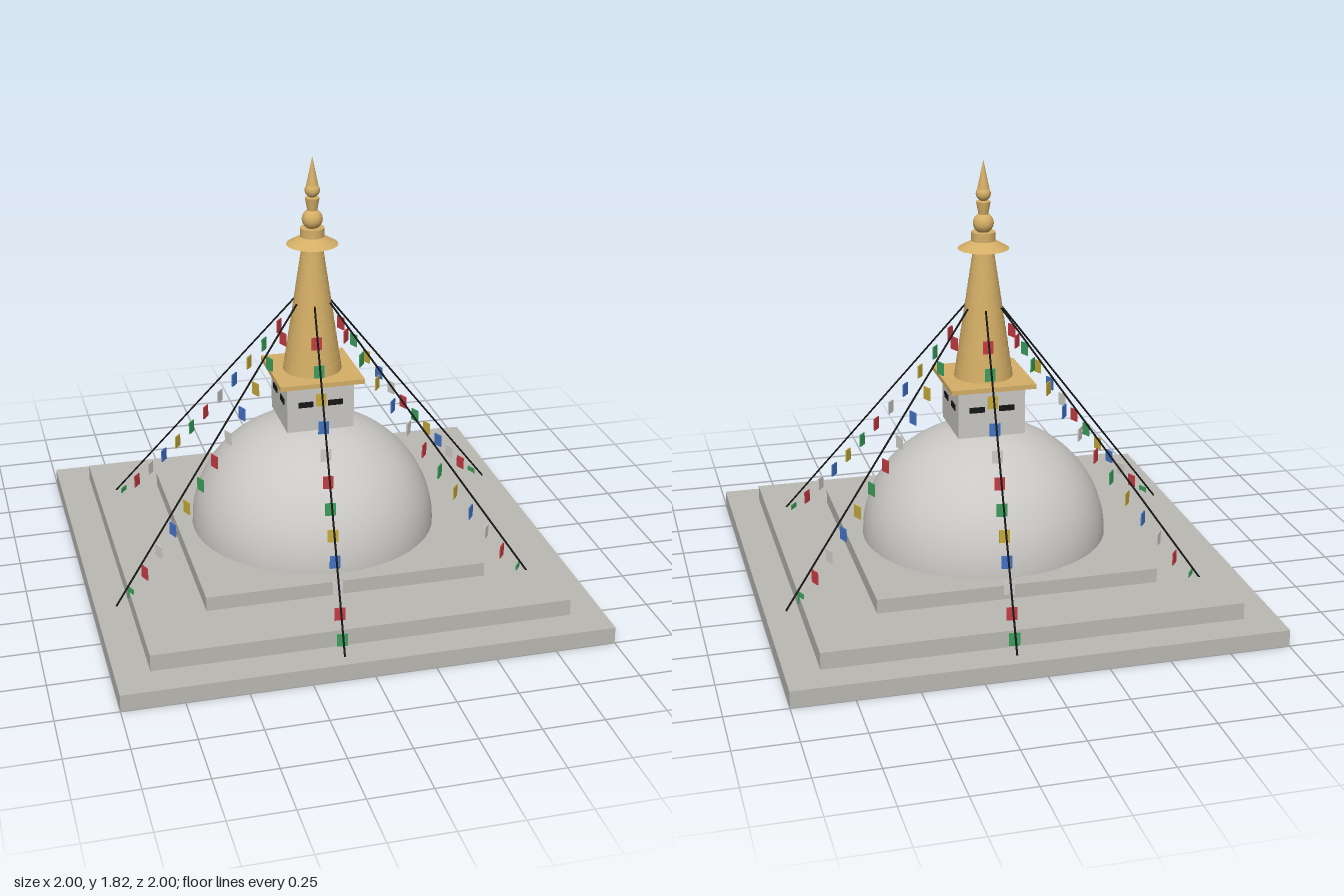
import * as THREE from 'three';

const mat = (name, color) => {
  const m = new THREE.MeshStandardMaterial({ color });
  m.name = name;
  return m;
};

export function createModel() {
  const stone = mat('stone', 0xbab8b2);
  const plaster = mat('plaster', 0xcac8c4);
  const gold = mat('gold', 0xd4ae66);
  const black = mat('black', 0x161616);
  const flagMats = [
    mat('red', 0xc43c42), mat('green', 0x3c9f5c), mat('yellow', 0xc4aa3a),
    mat('blue', 0x4272c4), mat('white', 0xcfcdca),
  ];

  const model = new THREE.Group();
  model.name = 'stupa';
  const add = (parent, name, geometry, material, x = 0, y = 0, z = 0) => {
    const mesh = new THREE.Mesh(geometry, material);
    mesh.name = name;
    mesh.position.set(x, y, z);
    parent.add(mesh);
    return mesh;
  };
  const slab = (name, half, y0, y1, material) =>
    add(model, name, new THREE.BoxGeometry(half * 2, y1 - y0, half * 2), material, 0, (y0 + y1) / 2);
  const drum = (name, rTop, rBottom, y0, y1, sides = 32) =>
    add(model, name, new THREE.CylinderGeometry(rTop, rBottom, y1 - y0, sides), gold, 0, (y0 + y1) / 2);

  // Three square terraces
  slab('lowerTerrace', 1, 0, 0.07, stone);
  slab('middleTerrace', 0.86, 0.07, 0.14, stone);
  slab('upperTerrace', 0.585, 0.14, 0.2, stone);

  // Slightly flattened dome
  const domeGeo = new THREE.SphereGeometry(0.52, 48, 20, 0, Math.PI * 2, 0, Math.PI / 2);
  domeGeo.scale(1, 0.48 / 0.52, 1);
  add(model, 'dome', domeGeo, plaster, 0, 0.2, 0);

  // Square tower with a pair of eyes on each side, and its cornice
  slab('tower', 0.143, 0.675, 0.88, plaster);
  for (let side = 0; side < 4; side++) {
    const face = new THREE.Group();
    face.name = 'towerFace';
    face.rotation.y = side * Math.PI / 2;
    for (const s of [-1, 1])
      add(face, 'eye', new THREE.BoxGeometry(0.064, 0.024, 0.006), black, s * 0.063, 0.795, 0.144);
    model.add(face);
  }
  slab('cornice', 0.18, 0.88, 0.9, gold);

  // Thirteen stepped rings of the spire
  const rings = 13, spireBase = 0.9, ringHeight = 0.542 / rings;
  for (let i = 0; i < rings; i++) {
    const r = 0.123 - 0.0062 * i;
    const y = spireBase + i * ringHeight;
    drum('spireRing', r - 0.005, r, y, y + ringHeight);
  }

  // Parasol and finial
  drum('parasol', 0.045, 0.107, 1.447, 1.482);
  drum('finialCollar', 0.05, 0.05, 1.48, 1.517);
  add(model, 'largeBead', new THREE.SphereGeometry(0.043, 24, 16), gold, 0, 1.553, 0);
  drum('finialCup', 0.03, 0.02, 1.588, 1.643, 24);
  add(model, 'smallBead', new THREE.SphereGeometry(0.031, 24, 16), gold, 0, 1.675, 0);
  drum('finialTip', 0, 0.025, 1.695, 1.815, 24);

  // Six ropes, each carrying twelve flags that hang on a slight sag
  const start = new THREE.Vector3(0, 1.2, 0.08);
  const end = new THREE.Vector3(0, 0.1, 1);
  const ropeGeo = new THREE.TubeGeometry(new THREE.LineCurve3(start, end), 1, 0.004, 6);
  const flagGeo = new THREE.BoxGeometry(0.043, 0.054, 0.005);
  for (let k = 0; k < 6; k++) {
    const line = new THREE.Group();
    line.name = 'flagLine';
    line.rotation.y = THREE.MathUtils.degToRad(-7 + 60 * k);
    add(line, 'rope', ropeGeo, black);
    for (let i = 0; i < 12; i++) {
      const t = (i + 1) / 13;
      const p = start.clone().lerp(end, t);
      const drop = 0.04 + 0.045 * Math.sin(Math.PI * t);
      add(line, 'flag', flagGeo, flagMats[i % 5], 0, p.y - drop, p.z);
    }
    model.add(line);
  }
  return model;
}
